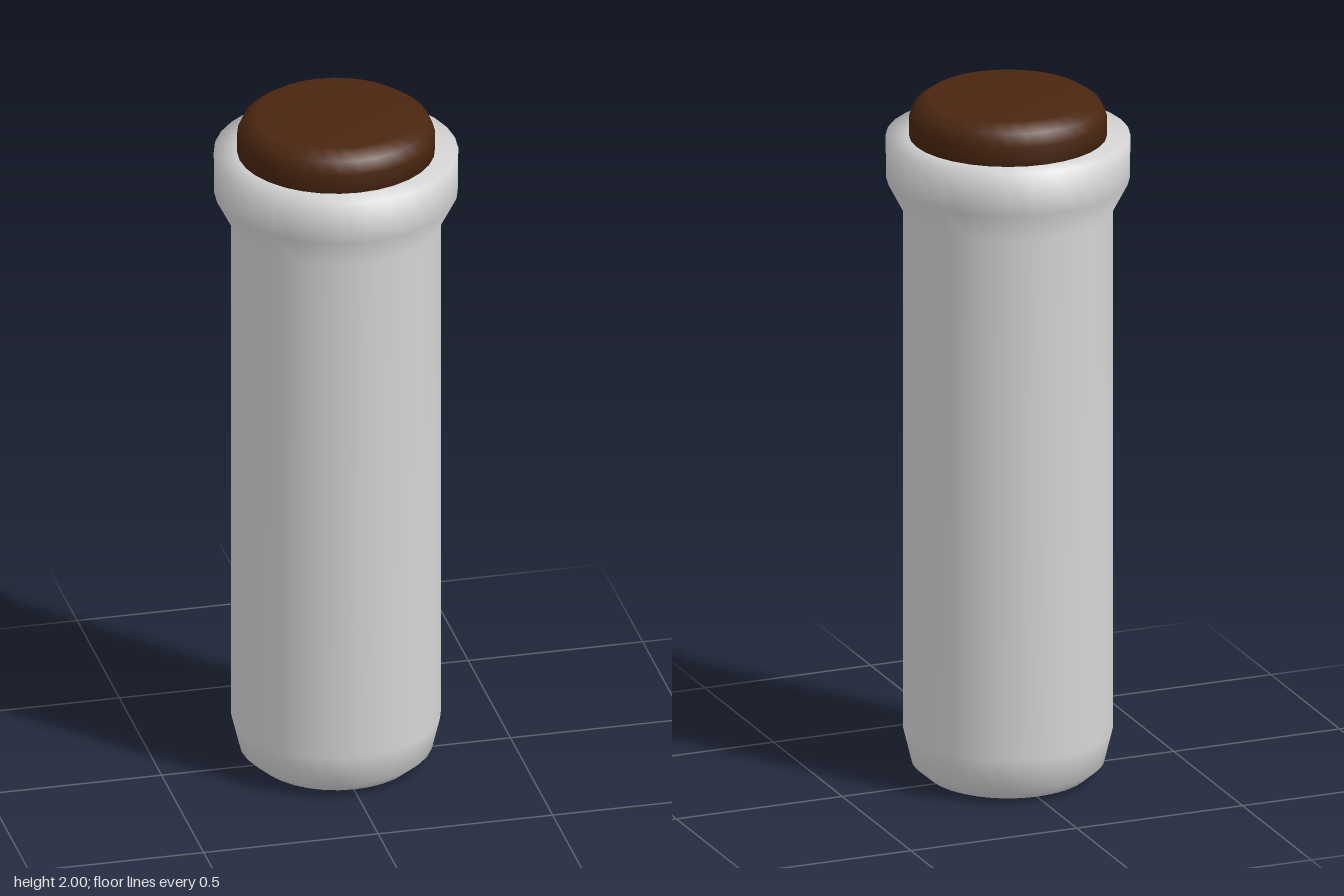
import * as THREE from 'three';

const SIDES = 32;

// Smooth solid of revolution from [radius, height] pairs, bottom to top
function turned(name, profile, material) {
  const points = profile.map(([r, y]) => new THREE.Vector2(r, y));
  const mesh = new THREE.Mesh(new THREE.LatheGeometry(points, SIDES), material);
  mesh.name = name;
  return mesh;
}

export function createModel() {
  const glass = new THREE.MeshStandardMaterial({ color: 0xd6d6d6 });
  glass.name = 'pale grey glass';
  const cork = new THREE.MeshStandardMaterial({ color: 0x4a2610 });
  cork.name = 'dark brown cork';

  const model = new THREE.Group();
  model.name = 'corkedVial';

  // Vial: rounded base, straight wall, flared collar and flat rim
  model.add(turned('vial', [
    [0, 0], [0.21, 0], [0.225, 0.006], [0.27, 0.045], [0.293, 0.14],
    [0.293, 1.67], [0.34, 1.76], [0.341, 1.885], [0.26, 1.885],
  ], glass));

  // Stopper: seated in the neck, rounded at the top edge
  model.add(turned('stopper', [
    [0, 1.84], [0.276, 1.84], [0.276, 1.94], [0.26, 1.975], [0.222, 2], [0, 2],
  ], cork));

  return model;
}
